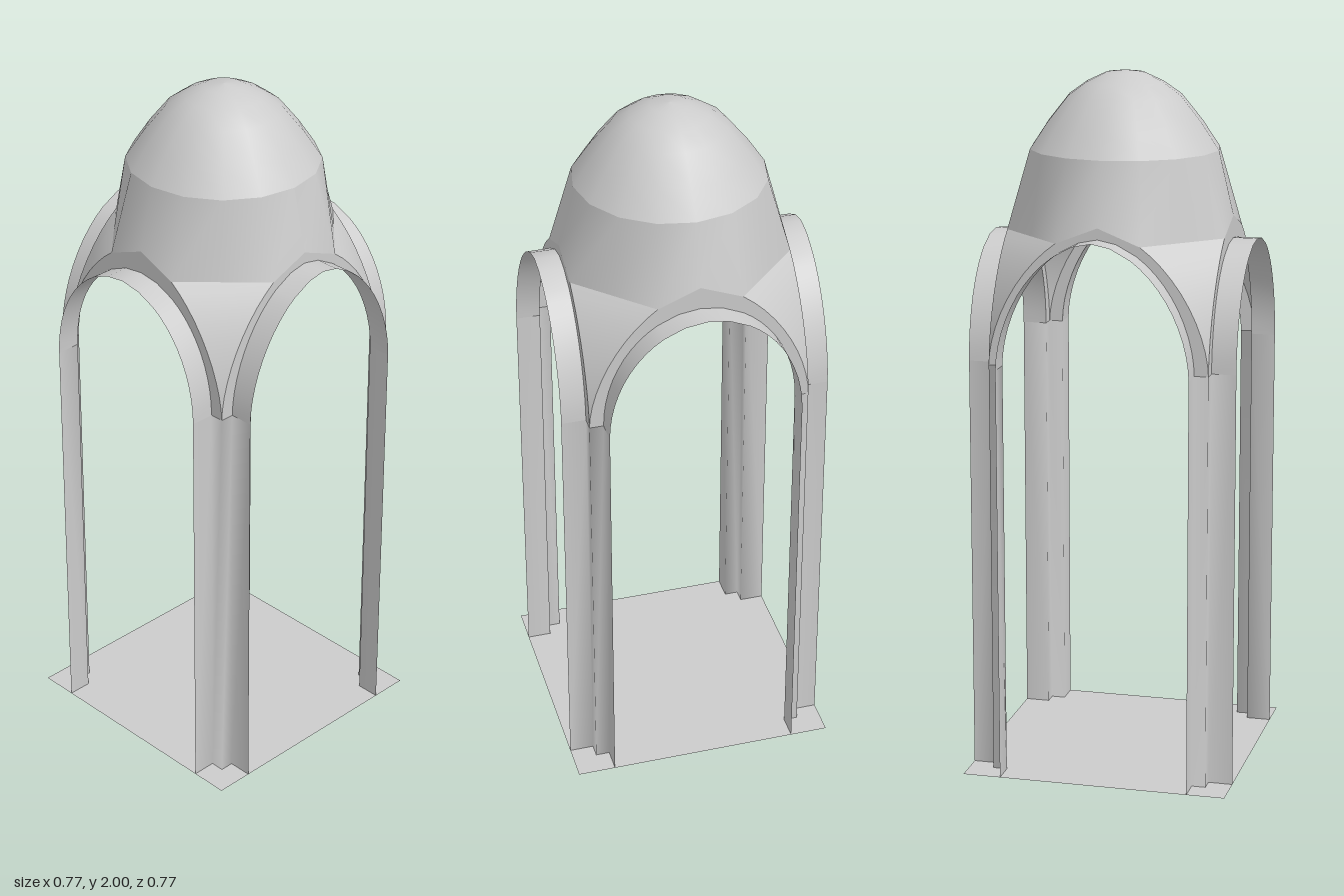
import * as THREE from 'three';

const V = (x, y, z) => new THREE.Vector3(x, y, z);
const UP = V(0, 1, 0);
const material = new THREE.MeshStandardMaterial({ color: 0xcccccc, side: THREE.DoubleSide });

const WALL = 0.315;    // half width of the pavilion walls
const EDGE = 0.385;    // half width of the floor and arch hoods
const OPEN = 0.275;    // half width of the arch openings
const SPRING = 1.2;    // height where the arches begin
const CHAMFER = 0.12;  // half width of the octagon's straight sides
const RING = 0.272, RING_Y = 1.78;

// Smooth sheet through rows of equally many points
function sheet(name, rows) {
  const n = rows[0].length, index = [];
  for (let i = 0; i < rows.length - 1; i++) {
    for (let j = 0; j < n - 1; j++) {
      const a = i * n + j, b = a + 1, c = a + n, d = c + 1;
      index.push(a, b, d, a, d, c);
    }
  }
  const geometry = new THREE.BufferGeometry().setFromPoints(rows.flat());
  geometry.setIndex(index);
  geometry.computeVertexNormals();
  return named(name, geometry);
}

function named(name, geometry) {
  const mesh = new THREE.Mesh(geometry, material);
  mesh.name = name;
  return mesh;
}

// Point on an arch of half width a, rise b and roundness p
function arch(t, a, b, p, z) {
  const c = Math.cos(t), s = Math.max(Math.sin(t), 0);
  return V(a * Math.sign(c) * Math.abs(c) ** (2 / p), SPRING + b * s ** (2 / p), z);
}

const OUTER_P = 1.7;
const outer = t => arch(t, WALL, 0.4, OUTER_P, WALL);
const cornerT = Math.acos((CHAMFER / WALL) ** (OUTER_P / 2));

export function createModel() {
  const model = new THREE.Group();
  model.name = 'domedPavilion';

  // Thin floor
  const floor = named('floor', new THREE.PlaneGeometry(2 * EDGE, 2 * EDGE));
  floor.rotation.x = -Math.PI / 2;
  model.add(floor);

  // Angles along an arch, up to the octagon corner, over the crown and down
  const rise = Array.from({ length: 11 }, (_, i) => cornerT * i / 10);
  const angles = [...rise, (cornerT + Math.PI / 2) / 2, Math.PI / 2];
  const full = [...angles, ...angles.slice(0, -1).reverse().map(t => Math.PI - t)];

  for (let i = 0; i < 4; i++) {
    const side = new THREE.Group();
    side.name = 'side' + (i + 1);
    side.rotation.y = i * Math.PI / 2;
    const [b, p] = i % 2 ? [0.335, 2] : [0.368, 1.8];
    const inner = z => full.map(t => arch(t, OPEN, b, p, z));

    // Flat wall around the arch, with the crown straight between octagon points
    const crown = V(0, outer(Math.PI / 2).y, WALL);
    const border = full.map(t => {
      const point = outer(t);
      if (Math.abs(point.x) < CHAMFER - 0.001) {
        const k = Math.abs(point.x) / CHAMFER;
        point.y = crown.y + (outer(cornerT).y - crown.y) * k;
      }
      return point;
    });
    side.add(sheet('archWall', [inner(WALL), border]));

    // Hood projecting outward from the opening
    side.add(sheet('archHood', [inner(EDGE), inner(WALL)]));

    // Folded corner pillar
    const plan = [[OPEN, EDGE], [OPEN, WALL], [WALL, WALL], [WALL, OPEN], [EDGE, OPEN]];
    side.add(sheet('pillar', [0, SPRING].map(y => plan.map(([x, z]) => V(x, y, z)))));

    // Spandrel leaning in from the pillar to the octagon
    side.add(sheet('spandrel', rise.map(t => {
      const { x, y } = outer(t);
      return [V(x, y, WALL), V(WALL, y, x)];
    })));
    model.add(side);
  }

  // Skirt from the octagon to the dome ring
  const cornerY = outer(cornerT).y, mid = (WALL + CHAMFER) / 2;
  const octagon = [
    V(0, outer(Math.PI / 2).y, WALL), V(CHAMFER, cornerY, WALL),
    V(mid, cornerY, mid), V(WALL, cornerY, CHAMFER),
  ];
  const base = [], ring = [];
  for (let k = 0; k <= 16; k++) {
    const a = k * Math.PI / 8;
    base.push(octagon[k % 4].clone().applyAxisAngle(UP, Math.floor(k / 4) * Math.PI / 2));
    ring.push(V(RING * Math.sin(a), RING_Y, RING * Math.cos(a)));
  }
  model.add(sheet('domeSkirt', [base, ring]));

  // Dome
  const profile = [[RING, RING_Y], [0.222, 1.855], [0.162, 1.93], [0.11, 1.967], [0.055, 1.993], [0, 2]];
  model.add(named('dome', new THREE.LatheGeometry(profile.map(([r, y]) => new THREE.Vector2(r, y)), 16)));

  return model;
}
